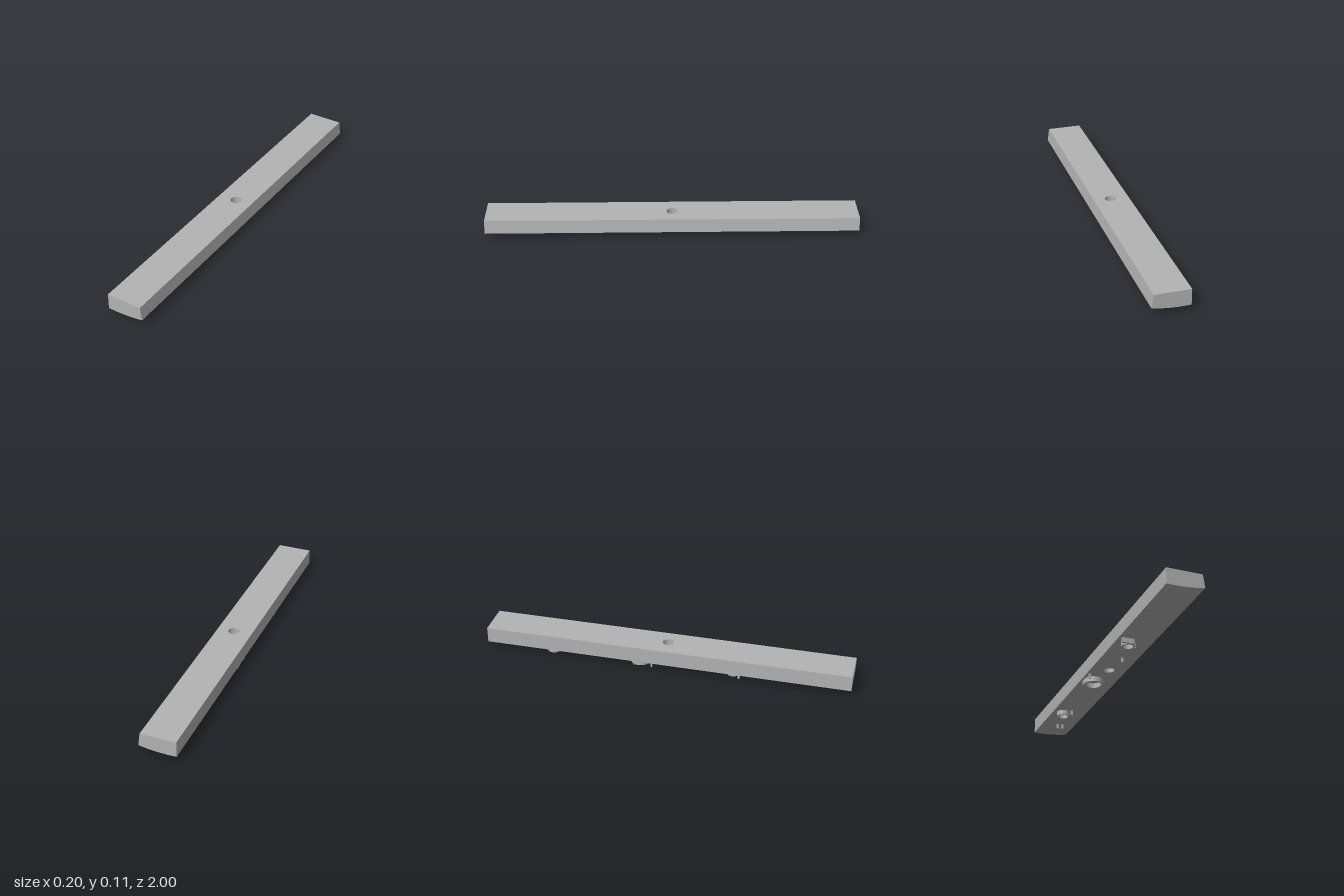
import * as THREE from 'three';

const TOP = 0.115;
// gently curved underside of the bar
const under = (x) => 0.028 + 0.62 * (x + 0.055) ** 2;

// extrudes a plan outline (x, -z) upward, then fits its two ends to height rules
function plate(shape, topY, bottomY, topX = (x) => x) {
  const g = new THREE.ExtrudeGeometry(shape, { depth: 1, bevelEnabled: false, curveSegments: 24 });
  g.rotateX(-Math.PI / 2);
  const p = g.attributes.position;
  for (let i = 0; i < p.count; i++) {
    const x = p.getX(i);
    if (p.getY(i) > 0.5) p.setXYZ(i, topX(x), topY(x), p.getZ(i));
    else p.setY(i, bottomY(x));
  }
  g.computeVertexNormals();
  return g;
}

function circle(path, x, z, r) {
  path.absarc(x, -z, r, 0, Math.PI * 2, false);
  return path;
}

export function createModel() {
  const group = new THREE.Group();
  const grey = new THREE.MeshStandardMaterial({ color: 0xb3b3b3 });
  grey.name = 'plain grey';
  const add = (name, geometry) => {
    const mesh = new THREE.Mesh(geometry, grey);
    mesh.name = name;
    group.add(mesh);
    return mesh;
  };

  // x samples across the underside
  const xs = Array.from({ length: 13 }, (_, i) => -0.1 + (0.2 * i) / 12);
  const HALF = 0.06;

  // two long bar sections, extruded from the end profile
  const profile = new THREE.Shape([
    ...xs.map((x) => new THREE.Vector2(x, under(x))),
    new THREE.Vector2(0.09, TOP),
    new THREE.Vector2(-0.1, TOP),
  ]);
  for (const [name, z] of [['frontBar', HALF], ['backBar', -1]]) {
    const g = new THREE.ExtrudeGeometry(profile, { depth: 1 - HALF, bevelEnabled: false });
    g.translate(0, 0, z);
    add(name, g);
  }

  // middle section with the vertical through hole
  const middle = new THREE.Shape([
    ...xs.map((x) => new THREE.Vector2(x, -HALF)),
    ...[...xs].reverse().map((x) => new THREE.Vector2(x, HALF)),
  ]);
  middle.holes.push(circle(new THREE.Path(), 0, 0, 0.03));
  add('middleBar', plate(middle, () => TOP, under, (x) => Math.min(x, 0.09)));

  // raised details hang below the underside and follow its curve
  const rootY = (x) => under(x) + 0.002;
  const tipY = (x) => under(x) - 0.028;

  const ring = (name, x, z, r, wall) => {
    const s = circle(new THREE.Shape(), x, z, r);
    s.holes.push(circle(new THREE.Path(), x, z, r - wall));
    add(name, plate(s, rootY, tipY));
  };
  ring('frontRing', -0.036, 0.366, 0.036, 0.009);
  ring('middleRing', -0.035, -0.145, 0.053, 0.01);
  ring('backRing', -0.042, -0.635, 0.037, 0.009);

  // small rectangular pegs and ribs: name, x, z, width, depth
  const pegs = [
    ['frontRib', -0.053, 0.403, 0.068, 0.01],
    ['frontRingPeg', 0.002, 0.355, 0.014, 0.01],
    ['frontPeg', 0.007, 0.174, 0.012, 0.01],
    ['middlePeg', -0.084, -0.074, 0.01, 0.009],
    ['middleRingPeg', -0.083, -0.168, 0.012, 0.012],
    ['backRingPeg', -0.001, -0.601, 0.014, 0.01],
    ['backPegInner', 0.018, -0.826, 0.012, 0.01],
    ['backPegOuter', -0.011, -0.824, 0.012, 0.01],
  ];
  for (const [name, x, z, w, d] of pegs) {
    const s = new THREE.Shape([
      new THREE.Vector2(x - w / 2, -z - d / 2),
      new THREE.Vector2(x + w / 2, -z - d / 2),
      new THREE.Vector2(x + w / 2, -z + d / 2),
      new THREE.Vector2(x - w / 2, -z + d / 2),
    ]);
    add(name, plate(s, rootY, tipY));
  }

  return group;
}
